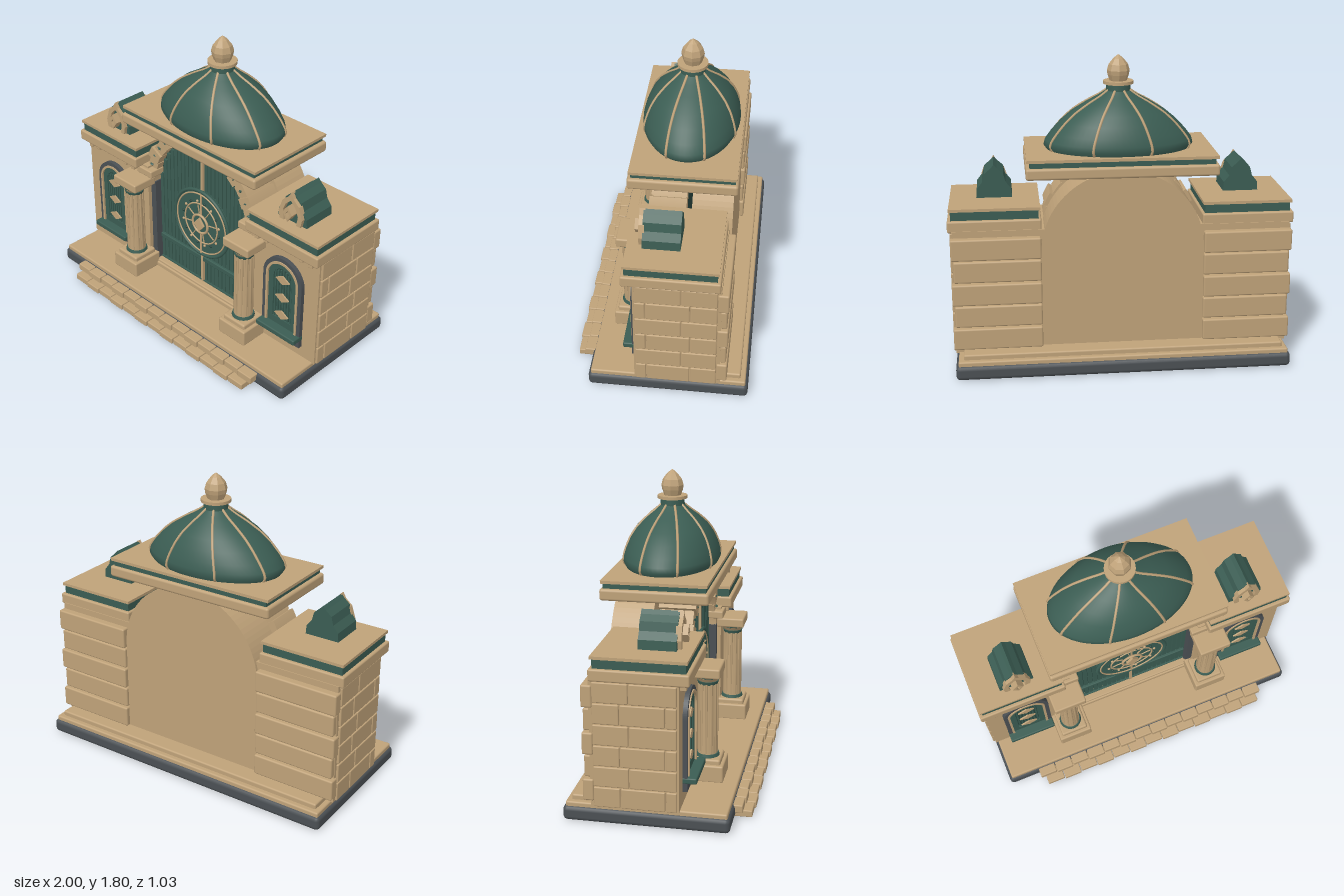
import * as THREE from 'three';
import { mergeVertices } from 'three/addons/utils/BufferGeometryUtils.js';
import { RoundedBoxGeometry } from 'three/addons/geometries/RoundedBoxGeometry.js';

const mat = (name, color) => Object.assign(new THREE.MeshStandardMaterial({ color }), { name });
const sand = mat('sandstone', 0xbfa279);
const green = mat('patina green', 0x3b5d53);
const darkGreen = mat('deep green', 0x29453e);
const slate = mat('slate', 0x4b5054);

export function createModel() {
  const root = new THREE.Group();
  root.name = 'gatehouse';

  const add = (name, geo, material, x = 0, y = 0, z = 0) => {
    const m = new THREE.Mesh(geo, material);
    m.name = name;
    m.position.set(x, y, z);
    root.add(m);
    return m;
  };
  // Box given by its extents, with optional softened edges
  const box = (name, material, x0, x1, y0, y1, z0, z1, r = 0) => {
    const w = Math.abs(x1 - x0), h = y1 - y0, d = z1 - z0;
    const geo = r ? new RoundedBoxGeometry(w, h, d, 2, r) : new THREE.BoxGeometry(w, h, d);
    return add(name, geo, material, (x0 + x1) / 2, (y0 + y1) / 2, (z0 + z1) / 2);
  };
  const extrude = (name, material, shape, x, z0, z1) =>
    add(name, new THREE.ExtrudeGeometry(shape, { depth: z1 - z0, bevelEnabled: false, curveSegments: 24 }), material, x, 0, z0);
  // Round-headed outline
  const arch = (r, y0, yc, Type = THREE.Shape) => {
    const s = new Type();
    s.moveTo(-r, y0);
    s.lineTo(r, y0);
    s.lineTo(r, yc);
    s.absarc(0, yc, r, 0, Math.PI, false);
    s.lineTo(-r, y0);
    return s;
  };
  const archFrame = (ro, ri, y0, y1, yc) => {
    const s = arch(ro, y0, yc);
    s.holes.push(arch(ri, y1, yc, THREE.Path));
    return s;
  };
  const poly = pts => new THREE.Shape(pts.map(p => new THREE.Vector2(p[0], p[1])));
  const diamond = (w, h, y) => poly([[0, y - h], [w, y], [0, y + h], [-w, y]]);

  // Plinth, floor slabs and brick steps
  box('plinth', slate, -0.975, 0.975, 0.005, 0.09, -0.515, 0.415, 0.025);
  box('floorSlab', sand, -0.96, 0.96, 0.07, 0.115, -0.5, 0.4, 0.01);
  box('upperFloorSlab', sand, -0.93, 0.93, 0.105, 0.145, -0.47, 0.13, 0.01);
  box('threshold', sand, -0.4, 0.4, 0.11, 0.16, 0, 0.12, 0.008);
  for (let i = 0; i < 14; i++) {
    const x = -0.78 + i * 0.1115;
    box('upperStepBrick', sand, x, x + 0.107, 0.038, 0.085, 0.38, i % 2 ? 0.465 : 0.458, 0.006);
  }
  for (let i = 0; i < 13; i++) {
    const x = -0.75 + i * 0.1155;
    box('lowerStepBrick', sand, x, x + 0.111, 0.003, 0.043, 0.38, i % 2 ? 0.515 : 0.508, 0.006);
  }

  // Side pavilions with columns
  for (const s of [-1, 1]) {
    box('pavilionWall', sand, s * 0.42, s * 0.975, 0.11, 0.85, -0.35, 0.14);
    for (let i = 0; i < 6; i++) {
      const y = 0.113 + i * 0.121;
      const joints = i % 2 ? [0.132, -0.13, -0.332] : [0.132, 0.068, -0.18, -0.332];
      for (let j = 1; j < joints.length; j++)
        box('sideBlock', sand, s * 0.95, s * 0.988, y, y + 0.115, joints[j] + 0.003, joints[j - 1] - 0.003, 0.006);
    }
    for (let i = 0; i < 5; i++) {
      const y = 0.143 + i * 0.1355;
      box('backCourse', sand, s * 0.47, s * (i % 2 ? 0.972 : 0.985), y, y + 0.127, -0.392 + (i % 2) * 0.008, -0.33, 0.01);
    }
    box('cornice', sand, s * 0.465, s, 0.84, 0.908, -0.345, 0.2, 0.01);
    box('corniceBand', green, s * 0.48, s * 0.98, 0.9, 0.962, -0.325, 0.18);
    box('roofSlab', sand, s * 0.47, s * 0.99, 0.96, 0.977, -0.335, 0.188);
    for (const [x, h] of [[0.93, 0.045], [0.895, 0.025], [0.86, 0.04], [0.6, 0.04], [0.565, 0.025], [0.53, 0.045]])
      box('corbel', sand, s * (x - 0.015), s * (x + 0.015), 0.845 - h, 0.85, 0.13, 0.175, 0.004);

    // Round-headed window
    const wx = s * 0.73;
    extrude('windowSurround', slate, archFrame(0.145, 0.118, 0.188, 0.25, 0.605), wx, 0.13, 0.166);
    extrude('windowMoulding', sand, archFrame(0.12, 0.106, 0.25, 0.262, 0.605), wx, 0.13, 0.172);
    extrude('windowFrame', green, archFrame(0.107, 0.07, 0.255, 0.315, 0.605), wx, 0.13, 0.16);
    extrude('windowPane', darkGreen, arch(0.08, 0.3, 0.605), wx, 0.13, 0.146);
    for (let i = -3; i <= 3; i++)
      box('windowBar', green, wx + i * 0.02 - 0.005, wx + i * 0.02 + 0.005, 0.31, 0.665 - Math.abs(i) * 0.008, 0.14, 0.156);
    for (const y of [0.35, 0.475, 0.6])
      extrude('windowDiamond', sand, diamond(0.052, 0.03, y), wx, 0.156, 0.165);
    box('windowSill', green, wx - 0.147, wx + 0.147, 0.235, 0.27, 0.12, 0.218, 0.008);

    // Small gabled dormer on the roof
    const gable = poly([[-0.105, 0.97], [0.105, 0.97], [0.1, 1.03], [0.068, 1.07], [0.055, 1.12], [0.02, 1.15],
      [0, 1.172], [-0.02, 1.15], [-0.055, 1.12], [-0.068, 1.07], [-0.1, 1.03]]);
    extrude('dormer', green, gable, wx, -0.11, 0.1);
    const trim = poly([[-0.075, 0.98], [-0.045, 0.98], [-0.055, 1.04], [-0.035, 1.09], [0, 1.125], [0.035, 1.09], [0.055, 1.04],
      [0.045, 0.98], [0.075, 0.98], [0.085, 1.03], [0.06, 1.105], [0.02, 1.14], [0, 1.175], [-0.02, 1.14], [-0.06, 1.105], [-0.085, 1.03]]);
    extrude('dormerTrim', sand, trim, wx, 0.09, 0.122);
    const drop = diamond(0.034, 0.05, 1.05);
    drop.holes.push(new THREE.Path(diamond(0.014, 0.024, 1.045).getPoints()));
    extrude('dormerDrop', sand, drop, wx, 0.09, 0.148);

    // Column
    const cx = s * 0.475, cz = 0.21;
    box('columnBase', sand, cx - 0.105, cx + 0.105, 0.11, 0.213, 0.105, 0.315, 0.01);
    box('columnPlinth', sand, cx - 0.085, cx + 0.085, 0.2, 0.243, 0.125, 0.295, 0.012);
    add('columnFoot', new THREE.CylinderGeometry(0.064, 0.07, 0.02, 32), green, cx, 0.25, cz);
    add('columnShaft', new THREE.CylinderGeometry(0.051, 0.058, 0.45, 32), sand, cx, 0.475, cz);
    for (let i = 0; i < 12; i++) {
      const a = i * Math.PI / 6;
      add('columnFlute', new THREE.CylinderGeometry(0.008, 0.008, 0.42, 6), sand, cx + Math.cos(a) * 0.052, 0.475, cz + Math.sin(a) * 0.052);
    }
    add('columnNeck', new THREE.CylinderGeometry(0.062, 0.056, 0.02, 32), green, cx, 0.69, cz);
    add('columnCollar', new THREE.CylinderGeometry(0.072, 0.055, 0.025, 32), sand, cx, 0.711, cz);
    add('columnCapitalRing', new THREE.CylinderGeometry(0.075, 0.07, 0.018, 32), green, cx, 0.729, cz);
    box('columnCapital', sand, cx - 0.1, cx + 0.1, 0.735, 0.793, 0.12, 0.292, 0.01);
    box('impost', sand, s * 0.37, s * 0.5, 0.79, 0.838, 0, 0.16, 0.008);
    box('doorJamb', slate, s * 0.38, s * 0.425, 0.145, 0.745, -0.05, 0.115);
  }

  // Rear arched wall and ring of wedge stones
  const R = 0.385, CY = 0.745;
  extrude('rearWall', sand, arch(0.47, 0.11, CY - 0.03), 0, -0.365, -0.13);
  const stones = 17, step = Math.PI / stones;
  for (let i = 0; i < stones; i++) {
    const a0 = i * step + 0.008, a1 = (i + 1) * step - 0.008, ro = i % 2 ? 0.458 : 0.474;
    const w = new THREE.Shape();
    w.absarc(0, CY, ro, a0, a1, false);
    w.absarc(0, CY, R, a1, a0, true);
    extrude('archStone', sand, w, 0, -0.1, i % 2 ? 0.105 : 0.115);
    const a = (a0 + a1) / 2;
    const stud = add('archStud', new THREE.OctahedronGeometry(0.013), green, Math.cos(a) * 0.428, CY + Math.sin(a) * 0.428, 0.112);
    stud.rotation.z = a;
    stud.scale.set(1.3, 0.8, 0.8);
  }
  const ring = new THREE.Shape();
  ring.absarc(0, CY, 0.452, 0, Math.PI, false);
  ring.absarc(0, CY, R + 0.005, Math.PI, 0, true);
  extrude('archCore', sand, ring, 0, -0.095, 0.1);

  // Planked double door
  extrude('doorBack', darkGreen, arch(R, 0.14, CY), 0, -0.1, 0.055);
  for (let i = 0; i < 24; i++) {
    const x = (i - 11.5) * 0.032, top = CY + Math.sqrt(R * R - (Math.abs(x) + 0.013) ** 2);
    box('doorPlank', green, x - 0.0125, x + 0.0125, 0.155, Math.min(top, 1.125), 0.05, 0.07);
  }
  box('doorRail', green, -0.375, 0.375, 0.318, 0.352, 0.06, 0.085, 0.005);
  box('doorBottomRail', green, -0.38, 0.38, 0.15, 0.168, 0.06, 0.08);
  box('doorCentreStrip', sand, -0.008, 0.008, 0.155, 1.125, 0.06, 0.086);

  // Round medallion on the door
  const MY = 0.605;
  const disc = (name, r, material, z0, z1) => {
    add(name, new THREE.CylinderGeometry(r, r, z1 - z0, 48), material, 0, MY, (z0 + z1) / 2).rotation.x = Math.PI / 2;
  };
  const hoop = (name, r, t, material, z) => add(name, new THREE.TorusGeometry(r, t, 8, 56), material, 0, MY, z);
  disc('medallion', 0.228, green, 0.06, 0.09);
  hoop('medallionRim', 0.228, 0.011, green, 0.088);
  hoop('medallionOuterHoop', 0.208, 0.005, sand, 0.092);
  hoop('medallionInnerHoop', 0.138, 0.005, sand, 0.092);
  for (let i = 0; i < 16; i++) {
    const a = (i + 0.5) * Math.PI / 8;
    add('medallionBead', new THREE.SphereGeometry(0.009, 8, 6), i % 2 ? darkGreen : sand, Math.cos(a) * 0.155, MY + Math.sin(a) * 0.155, 0.092);
    if (i % 2) continue;
    const spoke = add('medallionSpoke', new THREE.BoxGeometry(0.06, 0.005, 0.008), sand, Math.cos(a) * 0.1, MY + Math.sin(a) * 0.1, 0.092);
    spoke.rotation.z = a;
  }
  box('medallionStrip', sand, -0.006, 0.006, MY - 0.225, MY + 0.225, 0.085, 0.096);
  disc('medallionBoss', 0.06, green, 0.08, 0.1);
  hoop('medallionBossHoop', 0.063, 0.008, sand, 0.1);
  extrude('medallionDiamond', sand, diamond(0.04, 0.05, MY), 0, 0.095, 0.115);

  // Canopy slab below the dome
  box('canopy', sand, -0.55, 0.55, 1.147, 1.214, -0.395, 0.222, 0.015);
  box('canopyBand', green, -0.528, 0.528, 1.21, 1.247, -0.378, 0.203);
  box('canopyTop', sand, -0.545, 0.545, 1.245, 1.262, -0.388, 0.213);

  // Dome: elliptical at the foot, round at the neck; rows are [y, x radius, z radius]
  const DZ = -0.087;
  const rows = [[1.255, 0.415, 0.265], [1.285, 0.436, 0.28], [1.315, 0.428, 0.278], [1.36, 0.395, 0.266], [1.42, 0.34, 0.241],
    [1.475, 0.275, 0.205], [1.53, 0.185, 0.15], [1.565, 0.118, 0.105], [1.6, 0.065, 0.065]];
  const lathe = new THREE.LatheGeometry(rows.map(r => new THREE.Vector2(1, r[0])), 64);
  const pos = lathe.attributes.position;
  for (let i = 0; i < pos.count; i++) {
    const [, rx, rz] = rows[i % rows.length];
    pos.setX(i, pos.getX(i) * rx);
    pos.setZ(i, pos.getZ(i) * rz);
  }
  lathe.deleteAttribute('uv');
  lathe.deleteAttribute('normal');
  const dome = mergeVertices(lathe, 1e-5);
  dome.computeVertexNormals();
  add('dome', dome, green, 0, 0, DZ);
  for (let k = 0; k < 8; k++) {
    const a = (k + 0.5) * Math.PI / 4;
    const path = new THREE.CatmullRomCurve3(rows.map(([y, rx, rz]) => new THREE.Vector3(Math.cos(a) * rx, y, Math.sin(a) * rz)));
    add('domeRib', new THREE.TubeGeometry(path, 24, 0.008, 6), sand, 0, 0, DZ);
  }

  // Neck and finial
  add('domeNeck', new THREE.CylinderGeometry(0.07, 0.072, 0.05, 32), green, 0, 1.608, DZ);
  add('neckRing', new THREE.CylinderGeometry(0.087, 0.087, 0.018, 32), sand, 0, 1.642, DZ);
  const bulb = [[0, 1.645], [0.048, 1.645], [0.062, 1.685], [0.066, 1.71], [0.056, 1.745], [0.03, 1.778], [0, 1.802]];
  const finial = new THREE.LatheGeometry(bulb.map(p => new THREE.Vector2(...p)), 8).toNonIndexed();
  finial.computeVertexNormals();
  add('finial', finial, sand, 0, 0, DZ);

  // Centre the footprint
  const c = new THREE.Box3().setFromObject(root).getCenter(new THREE.Vector3());
  for (const m of root.children) m.position.z -= c.z;
  return root;
}
